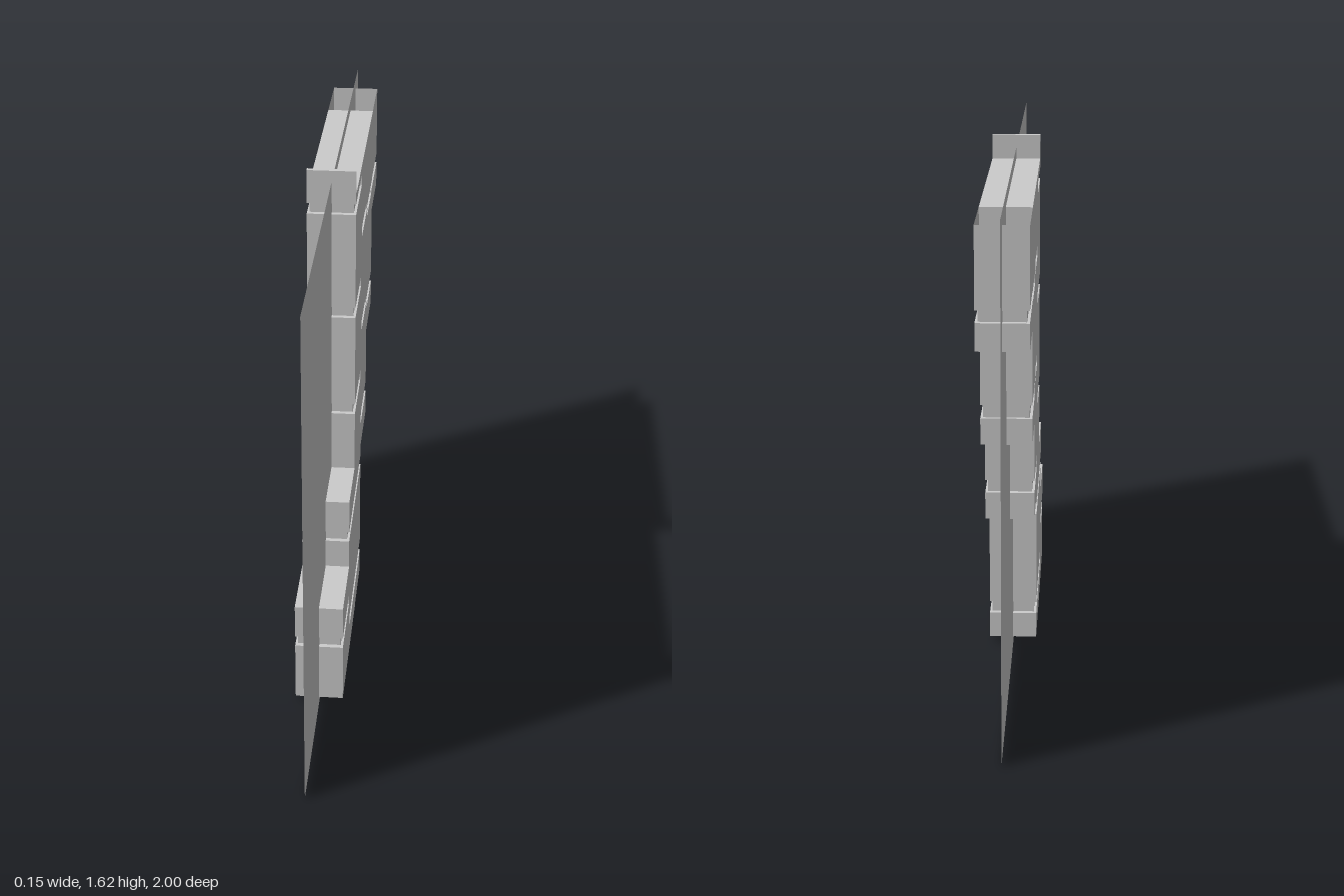
import * as THREE from 'three';

const WIDTH = 0.15;
const CORE = 0.134;

export function createModel() {
  const group = new THREE.Group();
  const solid = new THREE.MeshStandardMaterial({ color: 0xcccccc, flatShading: true });
  const thin = new THREE.MeshStandardMaterial({ color: 0xcccccc, side: THREE.DoubleSide });

  const add = (name, geometry, material = solid) => {
    const mesh = new THREE.Mesh(geometry, material);
    mesh.name = name;
    group.add(mesh);
  };

  // Extrude a side outline of [z, y] points across x, centred on x = 0
  const slab = (name, points, width = WIDTH) => {
    const shape = new THREE.Shape(points.map(([z, y]) => new THREE.Vector2(-z, y)));
    const geo = new THREE.ExtrudeGeometry(shape, { depth: width, bevelEnabled: false });
    add(name, geo.translate(0, 0, -width / 2).rotateY(Math.PI / 2));
  };
  const rect = (z0, z1, y0, y1) => [[z0, y0], [z1, y0], [z1, y1], [z0, y1]];

  // Notch running in from the front edge, listed from top to bottom
  const frontNotch = (edge, inner, y0, y1) => [[edge, y1], [inner, y1], [inner, y0], [edge, y0]];

  // Upper wall: stepped overhangs at the back, slots cut into both edges
  slab('upperWall', [
    [0.065, 1.55], [0.065, 1.625], [0.08, 1.625],
    ...frontNotch(0.08, -0.16, 1.485, 1.52),
    ...frontNotch(0.08, -0.16, 1.14, 1.175),
    ...frontNotch(0.08, -0.16, 0.8, 0.835),
    [0.08, 0.6], [0.295, 0.6], [0.295, 0.49], [-0.195, 0.49],
    [-0.195, 0.53], [-0.43, 0.53],
    [-0.43, 0.615], [-0.195, 0.615], [-0.195, 0.655], [-0.43, 0.655],
    [-0.43, 0.85], [-0.66, 0.85],
    [-0.66, 0.93], [-0.43, 0.93], [-0.43, 0.96], [-0.195, 0.96],
    [-0.195, 0.995], [-0.39, 0.995], [-0.39, 0.97], [-0.66, 0.97],
    [-0.66, 1.2], [-0.9, 1.2],
    [-0.9, 1.28], [-0.63, 1.28], [-0.63, 1.273], [-0.43, 1.273], [-0.43, 1.3], [-0.195, 1.3],
    [-0.195, 1.335], [-0.39, 1.335], [-0.39, 1.31], [-0.67, 1.31], [-0.67, 1.55],
  ]);

  // Lower wall with its front step
  slab('lowerWall', [
    [0.295, 0.455], [0.295, 0.36], [0.535, 0.36],
    ...frontNotch(0.535, 0.295, 0.215, 0.25),
    [0.535, 0.02], [0.02, 0.02], [0.02, 0.027], [-0.195, 0.027],
    [-0.195, 0.11], [0.26, 0.11], [0.26, 0.15], [-0.195, 0.15], [-0.195, 0.455],
  ]);

  // Recessed strips that fill the slots: z start, z end, y bottom, y top
  [
    [0.065, -0.16, 1.485, 1.52],
    [0.065, -0.16, 1.14, 1.175],
    [0.065, -0.16, 0.8, 0.835],
    [0.28, -0.18, 0.455, 0.49],
    [0.52, 0.295, 0.215, 0.25],
    [0.26, -0.18, 0.11, 0.15],
    [-0.195, -0.415, 0.615, 0.655],
    [-0.195, -0.43, 0.96, 0.995],
    [-0.39, -0.65, 0.93, 0.97],
    [-0.195, -0.43, 1.3, 1.335],
    [-0.39, -0.885, 1.273, 1.315],
  ].forEach((r) => slab('recessedStrip', rect(...r), CORE));

  // Open-topped bay at the upper back, made of thin panels
  for (const side of [-1, 1]) {
    const panel = new THREE.PlaneGeometry(0.23, 0.235).rotateY(side * Math.PI / 2);
    add('baySidePanel', panel.translate(side * WIDTH / 2, 1.4325, -0.785), thin);
  }
  const end = new THREE.PlaneGeometry(WIDTH, 0.235).rotateY(Math.PI);
  add('bayEndPanel', end.translate(0, 1.4325, -0.9), thin);
  const floor = new THREE.PlaneGeometry(WIDTH, 0.23).rotateX(-Math.PI / 2);
  add('bayFloor', floor.translate(0, 1.315, -0.785), thin);

  // Thin upright sheet through the middle
  const sheet = new THREE.PlaneGeometry(2, 1.585).rotateY(Math.PI / 2);
  add('centreSheet', sheet.translate(0, 0.7925, 0), thin);

  return group;
}
